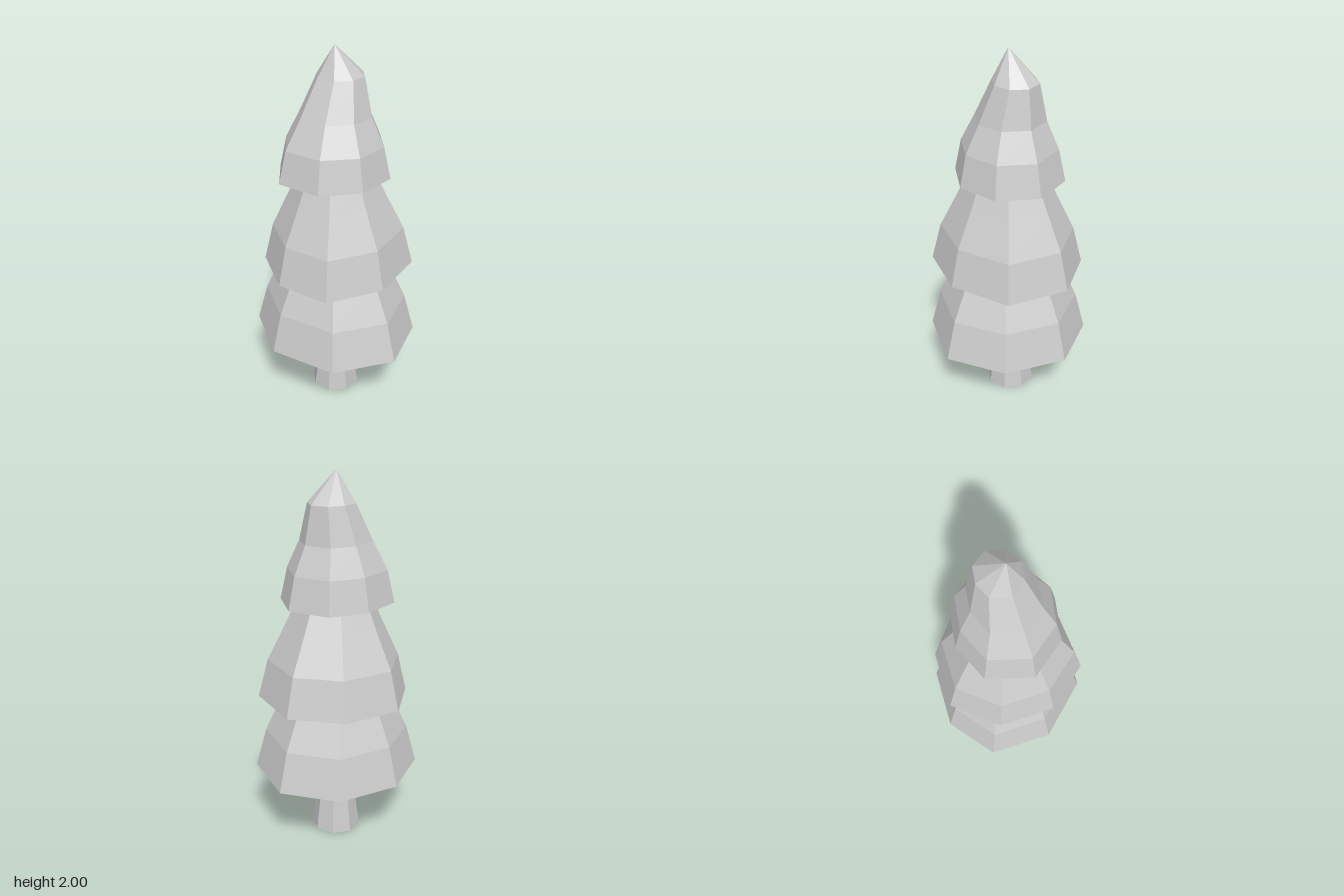
import * as THREE from 'three';

// Joins rings of points (bottom to top) into a faceted skin; optionally closes the underside
function loft(name, rings, closeBottom, side = THREE.FrontSide) {
  const pos = [];
  const tri = (...points) => points.forEach((p) => pos.push(...p));
  const n = rings[0].length;
  for (let i = 0; i < n; i++) {
    const j = (i + 1) % n;
    for (let k = 0; k + 1 < rings.length; k++) {
      const lo = rings[k], up = rings[k + 1];
      tri(lo[j], lo[i], up[i]);
      if (up[i].some((v, a) => v !== up[j][a])) tri(lo[j], up[i], up[j]);
    }
    if (closeBottom) tri([0, rings[0][0][1], 0], rings[0][i], rings[0][j]);
  }
  const geometry = new THREE.BufferGeometry();
  geometry.setAttribute('position', new THREE.Float32BufferAttribute(pos, 3));
  geometry.computeVertexNormals();
  const material = new THREE.MeshStandardMaterial({ color: 0xcccccc, flatShading: true, side });
  const mesh = new THREE.Mesh(geometry, material);
  mesh.name = name;
  return mesh;
}

// Scales an [x, z] outline to each level: [y, scale, shiftX, shiftZ]
const levels = (outline, steps) => steps.map(([y, s, dx = 0, dz = 0]) =>
  outline.map(([x, z]) => [x * s + dx, y, z * s + dz]));

export function createModel() {
  const tree = new THREE.Group();
  tree.name = 'tree';

  // Flared, open-ended octagonal trunk
  const octagon = Array.from({ length: 8 }, (_, i) => {
    const a = (i * Math.PI) / 4;
    return [Math.cos(a), Math.sin(a)];
  });
  tree.add(loft('trunk', levels(octagon, [
    [0, 0.134, 0.003, -0.012], [0.18, 0.111, 0.003, -0.008], [0.42, 0.09, 0.005, -0.003],
  ]), false, THREE.DoubleSide));

  // Lower foliage tier
  const lower = [[0.435, -0.1], [0.405, 0.23], [0.12, 0.42], [-0.24, 0.34],
    [-0.44, 0.06], [-0.35, -0.24], [-0.07, -0.425], [0.25, -0.38]];
  tree.add(loft('lowerFoliage', levels(lower, [
    [0.395, 1], [0.61, 0.87], [0.815, 0.655], [0.92, 0.5], [0.98, 0],
  ]), true));

  // Middle foliage tier
  const middle = [[0.405, -0.11], [0.325, 0.215], [0.085, 0.408], [-0.195, 0.33],
    [-0.37, 0.085], [-0.345, -0.21], [-0.09, -0.385], [0.205, -0.368]];
  tree.add(loft('middleFoliage', levels(middle, [
    [0.822, 1], [1.03, 0.87], [1.225, 0.635], [1.36, 0.48], [1.45, 0],
  ]), true));

  // Top foliage tier, its shoulder leaning towards the back right
  const top = [[0.29, -0.013], [0.205, 0.19], [0.005, 0.283], [-0.22, 0.215],
    [-0.3, -0.015], [-0.185, -0.2], [0, -0.295], [0.21, -0.22]];
  tree.add(loft('topFoliage', levels(top, [
    [1.342, 1], [1.51, 0.87], [1.655, 0.63, 0.003, -0.008],
    [1.845, 0.41, 0.02, -0.038], [2, 0],
  ]), true));

  return tree;
}
